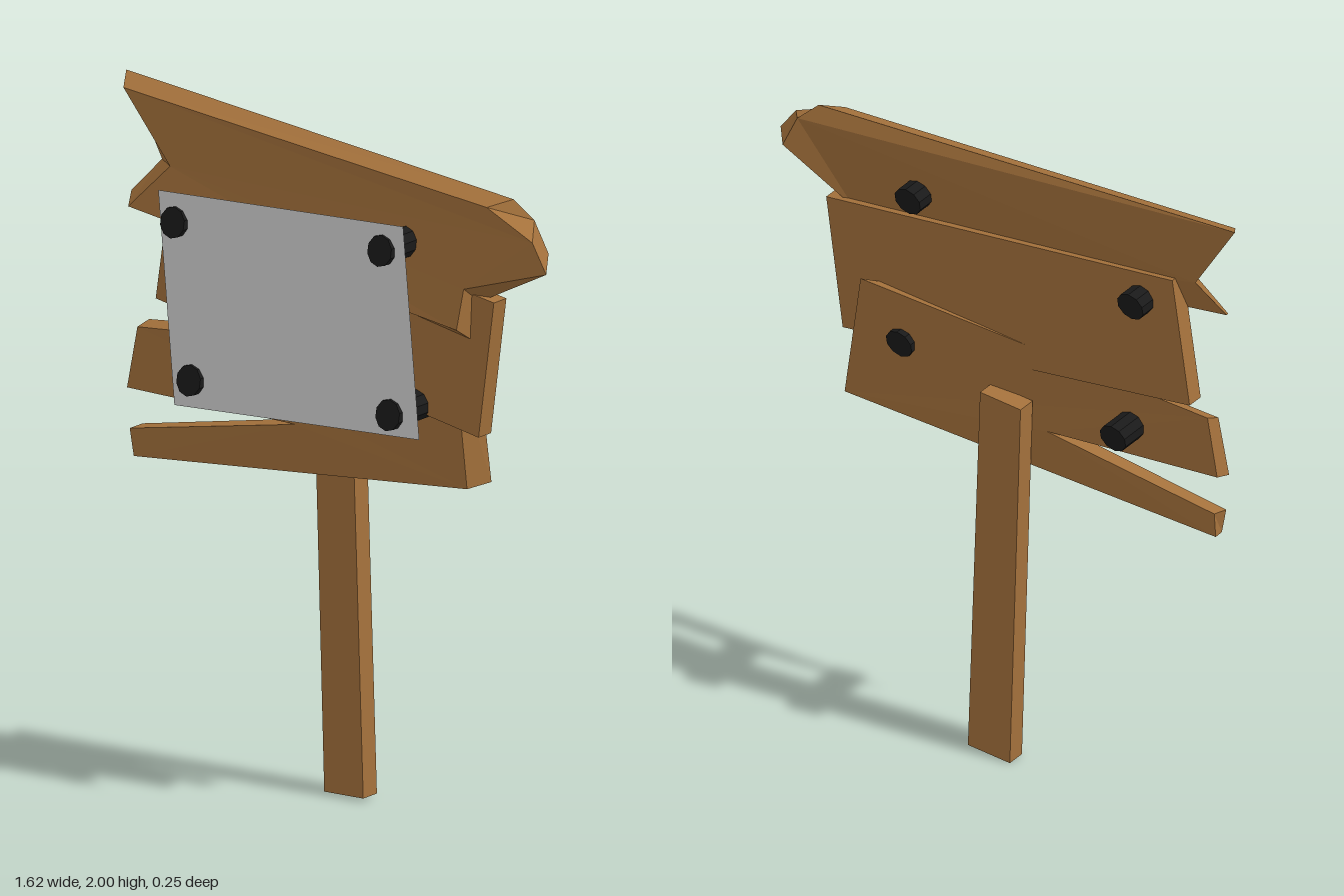
import * as THREE from 'three';

const wood = new THREE.MeshStandardMaterial({ color: 0xa5723c });
wood.name = 'wood';
const paper = new THREE.MeshStandardMaterial({ color: 0xd6d6d6, side: THREE.DoubleSide });
paper.name = 'pale panel';
const iron = new THREE.MeshStandardMaterial({ color: 0x1a1a1a });
iron.name = 'black iron';

// Board between a front and a back outline (same count, counterclockwise from the front)
function slab(name, front, back) {
  const pos = [];
  const tri = (...pts) => pts.forEach((p) => pos.push(...p));
  const cap = (loop) => THREE.ShapeUtils.triangulateShape(loop.map(([x, y]) => new THREE.Vector2(x, y)), []);
  for (const [a, b, c] of cap(front)) tri(front[a], front[b], front[c]);
  for (const [a, b, c] of cap(back)) tri(back[a], back[c], back[b]);
  front.forEach((f, i) => {
    const j = (i + 1) % front.length;
    tri(f, back[i], front[j]);
    tri(front[j], back[i], back[j]);
  });
  const geo = new THREE.BufferGeometry();
  geo.setAttribute('position', new THREE.Float32BufferAttribute(pos, 3));
  geo.computeVertexNormals();
  const mesh = new THREE.Mesh(geo, wood);
  mesh.name = name;
  return mesh;
}

// Flat outline placed at a fixed depth
const at = (z, outline) => outline.map(([x, y]) => [x, y, z]);

export function createModel() {
  const sign = new THREE.Group();
  sign.name = 'signpost';

  // Leaning post
  const post = [[-0.07, 0], [0.075, 0.01], [0.033, 1.2], [-0.107, 1.19]];
  sign.add(slab('post', at(-0.065, post), at(-0.125, post)));

  // Splintered top board, leaning forward at its lower edge
  sign.add(slab('topBoard',
    [[-0.77, 1.97, -0.01], [-0.58, 1.78, 0.01], [-0.71, 1.64, 0.04], [0.51, 1.53, 0.04],
      [0.52, 1.65, 0.02], [0.81, 1.75, 0], [0.75, 1.83, -0.01], [0.58, 1.9, -0.01]],
    [[-0.81, 2, -0.07], [-0.66, 1.77, -0.05], [-0.74, 1.67, -0.01], [0.52, 1.49, -0.015],
      [0.53, 1.6, -0.04], [0.73, 1.77, -0.105], [0.69, 1.865, -0.09], [0.63, 1.92, -0.07]]));

  // Middle board
  const middle = [[-0.65, 1.365], [0.55, 1.205], [0.607, 1.62], [-0.59, 1.76]];
  sign.add(slab('middleBoard', at(-0.01, middle), at(-0.065, middle)));

  // Split lower board, its right end swung backwards
  sign.add(slab('lowerBoard',
    [[-0.68, 1.285, 0.035], [-0.71, 1.1, 0.045], [-0.13, 1.1, -0.007], [-0.7, 0.98, 0.045],
      [-0.685, 0.9, 0.045], [0.465, 1.02, -0.06], [0.42, 1.4, -0.06]],
    [[-0.67, 1.3, -0.005], [-0.7, 1.11, 0], [-0.15, 1.1, -0.058], [-0.69, 0.985, 0],
      [-0.695, 0.91, 0], [0.505, 1.035, -0.12], [0.45, 1.43, -0.12]]));

  // Blank panel held in front of the boards
  const outline = [[-0.485, 1.11], [0.425, 1.2], [0.365, 1.825], [-0.545, 1.74]];
  const panel = new THREE.Mesh(
    new THREE.ShapeGeometry(new THREE.Shape(outline.map(([x, y]) => new THREE.Vector2(x, y)))), paper);
  panel.name = 'panel';
  panel.position.z = 0.103;
  sign.add(panel);

  // Bolts with slanted ends
  const boltGeo = new THREE.CylinderGeometry(0.045, 0.045, 0.235, 10).rotateX(Math.PI / 2).toNonIndexed();
  const p = boltGeo.attributes.position;
  for (let i = 0; i < p.count; i++) p.setZ(i, p.getZ(i) - 0.2 * p.getY(i));
  boltGeo.computeVertexNormals();
  const spots = [[-0.48, 1.66], [0.29, 1.74], [0.32, 1.255], [-0.42, 1.2]];
  spots.forEach(([x, y], i) => {
    const bolt = new THREE.Mesh(boltGeo, iron);
    bolt.name = `bolt${i + 1}`;
    bolt.position.set(x, y, 0.001);
    sign.add(bolt);
  });

  return sign;
}
